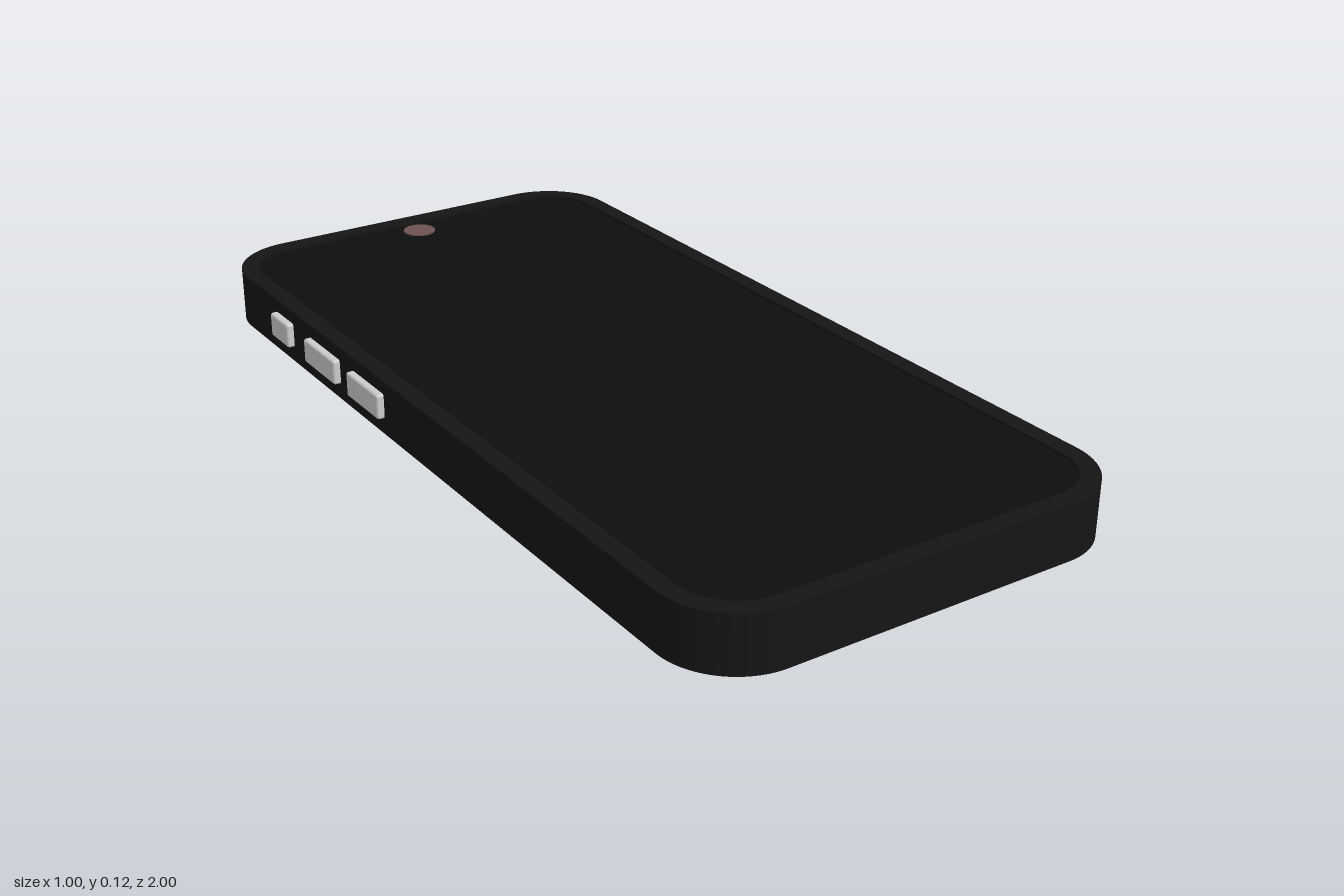
import * as THREE from 'three';
import { toCreasedNormals } from 'three/addons/utils/BufferGeometryUtils.js';
import { RoundedBoxGeometry } from 'three/addons/geometries/RoundedBoxGeometry.js';

const HALF_W = 0.484, HALF_L = 1, HEIGHT = 0.122, RIM = 0.04, RECESS = 0.006;

// Rounded rectangle outline, centred on the origin
function roundedRect(path, w, l, r) {
  path.moveTo(w - r, -l);
  path.absarc(w - r, -l + r, r, -Math.PI / 2, 0);
  path.absarc(w - r, l - r, r, 0, Math.PI / 2);
  path.absarc(-w + r, l - r, r, Math.PI / 2, Math.PI);
  path.absarc(-w + r, -l + r, r, Math.PI, Math.PI * 1.5);
  path.closePath();
  return path;
}

// Upright slab from a flat outline, between heights y0 and y1
function slab(shape, y0, y1) {
  const g = new THREE.ExtrudeGeometry(shape, { depth: y1 - y0, bevelEnabled: false, curveSegments: 12 });
  g.rotateX(-Math.PI / 2).translate(0, y0, 0);
  return toCreasedNormals(g, 0.6);
}

export function createModel() {
  const model = new THREE.Group();
  const mat = (color) => new THREE.MeshStandardMaterial({ color });
  const caseMat = mat(0x151515), screenMat = mat(0x0d0d0d), buttonMat = mat(0xcccccc);

  const add = (name, geometry, material) => {
    const mesh = new THREE.Mesh(geometry, material);
    mesh.name = name;
    model.add(mesh);
    return mesh;
  };

  // Case: solid back and a raised rim round the screen
  const outline = () => roundedRect(new THREE.Shape(), HALF_W, HALF_L, 0.16);
  const inner = (C) => roundedRect(new C(), HALF_W - RIM, HALF_L - RIM, 0.12);
  const floorY = HEIGHT - 0.03;
  add('back', slab(outline(), 0, floorY), caseMat);
  const rim = outline();
  rim.holes.push(inner(THREE.Path));
  add('rim', slab(rim, floorY, HEIGHT), caseMat);

  // Screen, just below the rim
  const screenY = HEIGHT - RECESS;
  add('screen', slab(inner(THREE.Shape), floorY, screenY), screenMat);

  // Front camera
  const lens = new THREE.CylinderGeometry(0.038, 0.038, 0.006, 32);
  add('frontCamera', lens, mat(0x6e5252)).position.set(0, screenY, -0.91);

  // Side buttons: name, side, start and end along z
  const buttons = [
    ['actionButton', -1, -0.685, -0.595],
    ['volumeUpButton', -1, -0.51, -0.36],
    ['volumeDownButton', -1, -0.3, -0.155],
    ['powerButton', 1, -0.45, -0.2],
  ];
  for (const [name, side, z0, z1] of buttons) {
    const g = new RoundedBoxGeometry(0.04, 0.056, z1 - z0, 3, 0.006);
    add(name, g, buttonMat).position.set(side * 0.48, 0.064, (z0 + z1) / 2);
  }
  return model;
}
